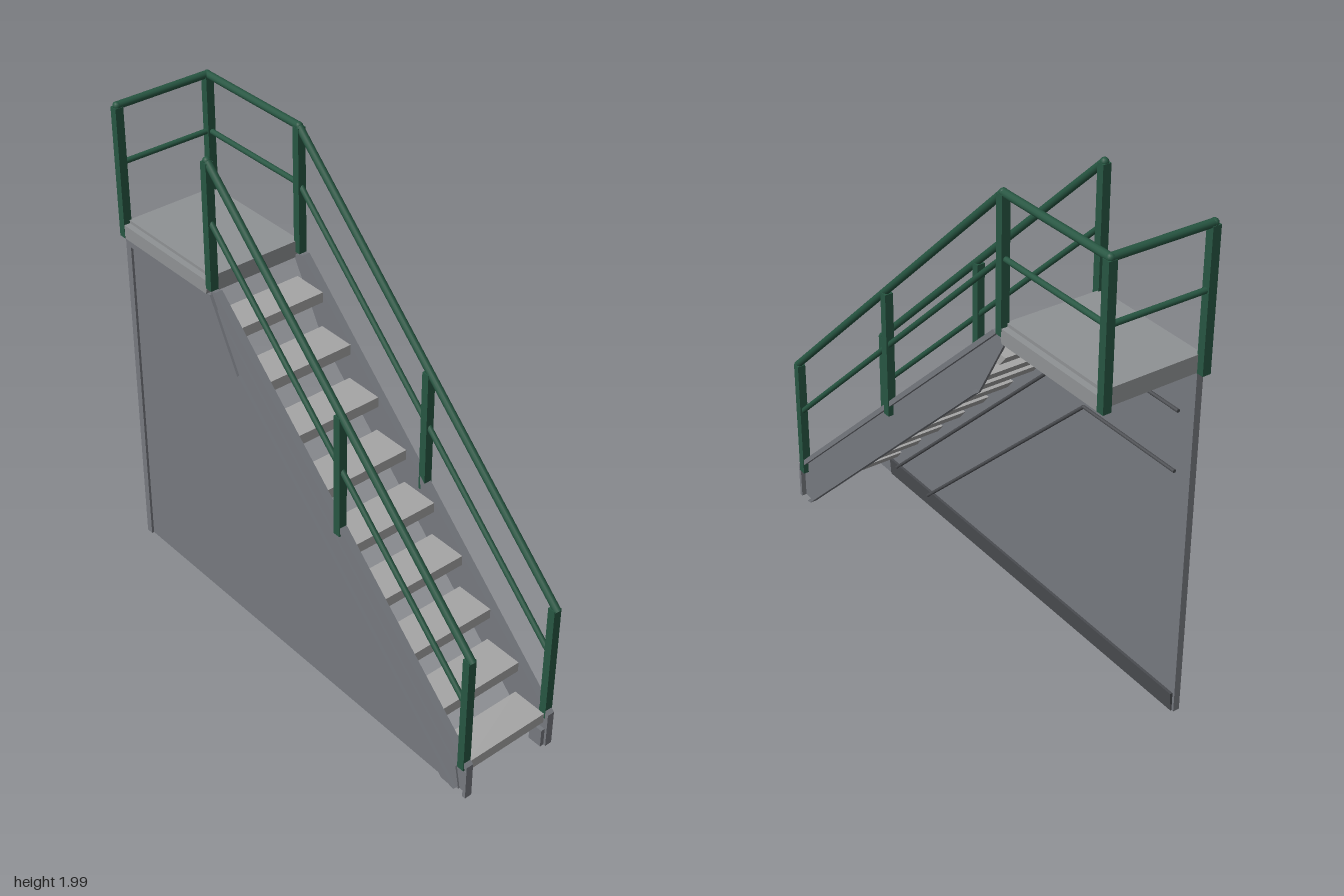
import * as THREE from 'three';

const paint = (color, flatShading = true) => new THREE.MeshStandardMaterial({ color, flatShading });
const steel = paint(0x76797f);
const treadGrey = paint(0xa6a6a6);
const deckGrey = paint(0x8f9294);
const darkGrey = paint(0x4a4c50);
const green = paint(0x275642, false);

export function createModel() {
  const model = new THREE.Group();
  const add = (name, geo, mat) => {
    const mesh = new THREE.Mesh(geo, mat);
    mesh.name = name;
    model.add(mesh);
    return mesh;
  };
  // Box from its minimum and maximum corners
  const box = (name, [x0, y0, z0], [x1, y1, z1], mat) =>
    add(name, new THREE.BoxGeometry(x1 - x0, y1 - y0, z1 - z0), mat)
      .position.set((x0 + x1) / 2, (y0 + y1) / 2, (z0 + z1) / 2);
  // Side outline of [z, y] points, extruded from x0 to x1
  const plate = (name, pts, x0, x1, mat = steel) => {
    const shape = new THREE.Shape(pts.map(([z, y]) => new THREE.Vector2(z, y)));
    const geo = new THREE.ExtrudeGeometry(shape, { depth: x1 - x0, bevelEnabled: false });
    geo.rotateY(-Math.PI / 2).translate(x1, 0, 0);
    add(name, geo, mat);
  };
  // Round bar between two points
  const bar = (name, a, b, r, mat = green) => {
    const from = new THREE.Vector3(...a), to = new THREE.Vector3(...b);
    const dir = to.clone().sub(from);
    const mesh = add(name, new THREE.CylinderGeometry(r, r, dir.length(), 12), mat);
    mesh.position.copy(from).add(to).multiplyScalar(0.5);
    mesh.quaternion.setFromUnitVectors(new THREE.Vector3(0, 1, 0), dir.normalize());
  };
  const ball = (name, p, r) =>
    add(name, new THREE.SphereGeometry(r, 12, 8), green).position.set(...p);
  // Square upright
  const post = (name, x, z, y0, y1) =>
    box(name, [x - 0.017, y0, z - 0.016], [x + 0.017, y1, z + 0.016], green);

  for (const s of [-1, 1]) {
    // Stringers: web with outward flanges along both long edges
    const side = (name, pts, a, b, mat) =>
      plate(name, pts, Math.min(s * a, s * b), Math.max(s * a, s * b), mat);
    side('stringerWeb', [[1, 0], [1, 0.155], [-0.4, 1.46], [-0.455, 1.44], [-0.29, 1.15], [0.92, 0]], 0.187, 0.198);
    side('stringerTopFlange', [[1, 0.13], [1, 0.155], [-0.4, 1.46], [-0.42, 1.454]], 0.198, 0.218);
    side('stringerBottomFlange', [[0.92, 0], [0.94, 0], [-0.28, 1.16], [-0.29, 1.15]], 0.198, 0.218);
    side('stringerFoot', [[1, 0], [1, 0.13], [0.985, 0.13], [0.985, 0]], 0.187, 0.218);

    // Stair handrail
    const x = s * 0.204;
    for (const [z, y0, y1] of [[0.97, 0.13, 0.65], [0.283, 0.77, 1.29], [-0.437, 1.455, 1.97]])
      post('stairPost', x, z, y0, y1);
    bar('stairTopRail', [x, 0.643, 0.985], [x, 1.973, -0.437], 0.015);
    bar('stairMiddleRail', [x, 0.42, 0.975], [x, 1.74, -0.437], 0.011);
    ball('railEnd', [x, 1.973, -0.437], 0.016);

    // Platform rear corner post
    post('platformPost', x, -0.982, 1.43, 1.968);
    ball('railCorner', [x, 1.973, -0.982], 0.016);

    // Platform side edge
    side('platformSideBoard', [[-0.97, 1.43], [-0.455, 1.43], [-0.44, 1.487], [-0.97, 1.487]], 0.195, 0.22, deckGrey);
  }
  box('footBlock', [0.17, 0, 0.93], [0.19, 0.08, 0.99], steel);

  // Treads, with the rear face slanting in below
  for (let i = 0; i < 9; i++) {
    const top = 0.1505 * (i + 1), bottom = top - 0.043;
    const front = i ? 0.995 - 0.16 * i : 0.98;
    const back = Math.max(0.83 - 0.16 * i, -0.435);
    plate('tread', [[front, bottom], [front, top], [back, top], [back + 0.035, bottom]], -0.188, 0.188, treadGrey);
  }

  // Platform
  box('platformDeck', [-0.195, 1.432, -0.97], [0.195, 1.5, -0.445], deckGrey);

  // Platform guard rails: one side and the rear
  for (const [y, r, name] of [[1.973, 0.015, 'Top'], [1.74, 0.011, 'Middle']]) {
    bar(`platformSide${name}Rail`, [0.204, y, -0.437], [0.204, y, -0.982], r);
    bar(`platformRear${name}Rail`, [-0.204, y, -0.982], [0.204, y, -0.982], r);
  }

  // Side panel below the stair, framed on its outer face
  plate('sidePanel', [[0.95, 0], [0.93, 0.1], [-0.42, 1.37], [-0.45, 1.43], [-0.97, 1.43], [-0.97, 0]], -0.205, -0.188);
  plate('panelFrame', [[0.92, 0], [-0.29, 1.15], [-0.44, 1.43], [-0.97, 1.43], [-0.97, 0],
    [-0.94, 0], [-0.94, 1.4], [-0.6, 1.4], [0.87, 0]], -0.215, -0.205);

  // Sloped skirting along the panel's inner foot
  const skirt = new THREE.Shape([[-0.19, 0], [-0.183, 0], [-0.177, 0.08], [-0.19, 0.08]]
    .map(p => new THREE.Vector2(...p)));
  add('panelSkirting', new THREE.ExtrudeGeometry(skirt, { depth: 1.87, bevelEnabled: false }), darkGrey)
    .position.z = -0.96;

  // Raised ribs on the panel's inner face
  for (const [y, z, yEnd] of [[1.253, 0.86, 0.06], [1.013, 0.62, 0.05]]) {
    bar('panelRib', [-0.181, y, -0.9], [-0.181, y, -0.4], 0.007, darkGrey);
    bar('panelRib', [-0.181, y, -0.4], [-0.181, yEnd, z], 0.007, darkGrey);
  }

  return model;
}
